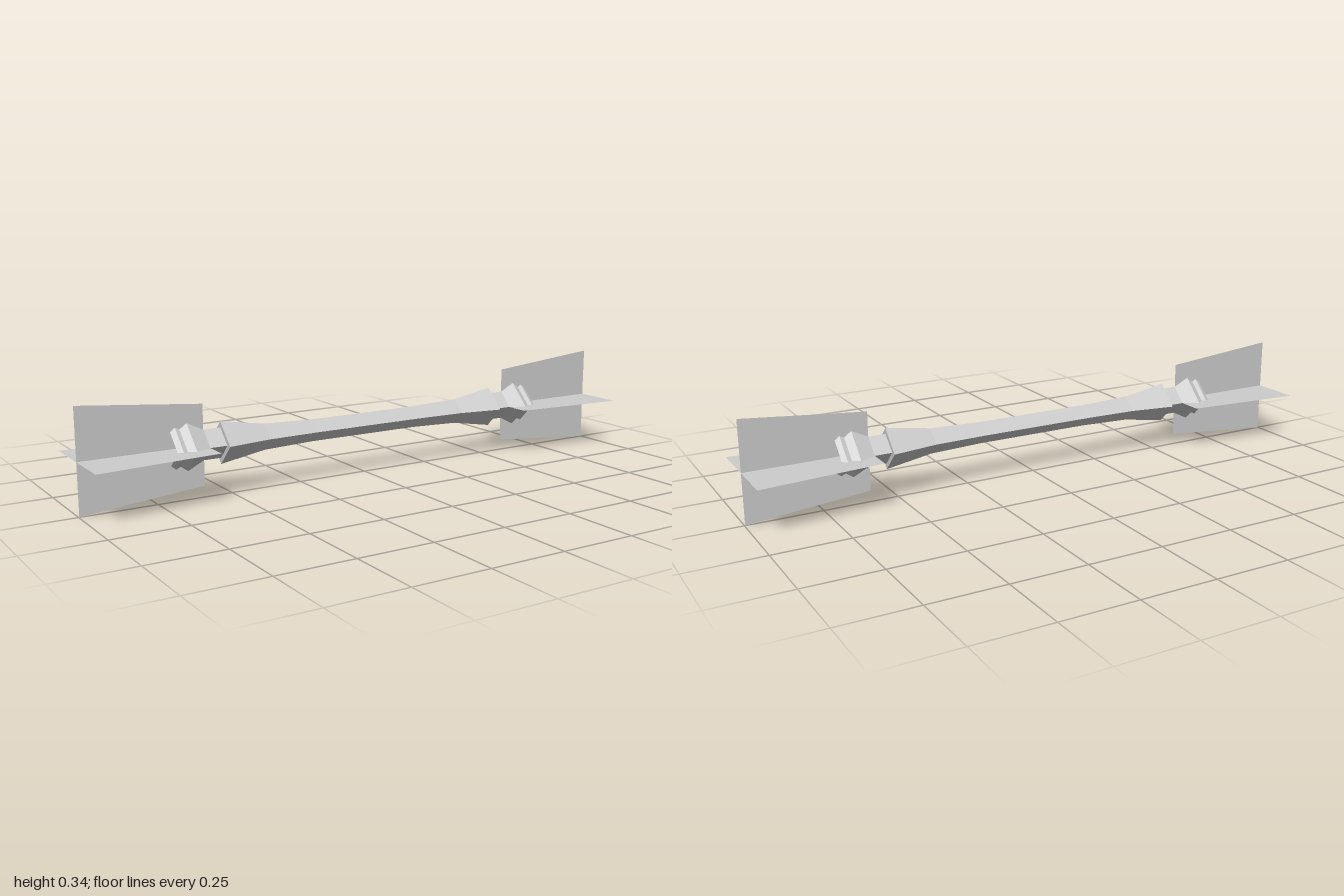
import * as THREE from 'three';

export function createModel() {
  const model = new THREE.Group();
  const axisY = 0.168;

  const grey = new THREE.MeshStandardMaterial({ color: 0xcccccc, flatShading: true });
  grey.name = 'plainGrey';
  const greySheet = new THREE.MeshStandardMaterial({ color: 0xcccccc, flatShading: true, side: THREE.DoubleSide });
  greySheet.name = 'plainGreySheet';

  // Half profile of the handle from the middle outwards: [distance along x, radius]
  const half = [
    [0.2, 0.037], [0.26, 0.039], [0.38, 0.043], [0.535, 0.069],
    [0.535, 0.049], [0.593, 0.049], [0.648, 0.076], [0.672, 0.059],
    [0.687, 0.066], [0.703, 0.054],
  ];
  const profile = [
    ...half.slice().reverse().map(([d, r]) => new THREE.Vector2(r, -d)),
    ...half.map(([d, r]) => new THREE.Vector2(r, d)),
  ];

  // Four-sided handle, open at both ends, laid along x
  const handleGeometry = new THREE.LatheGeometry(profile, 4);
  handleGeometry.rotateZ(-Math.PI / 2);
  const handle = new THREE.Mesh(handleGeometry, grey);
  handle.name = 'handle';
  handle.position.y = axisY;
  model.add(handle);

  // Flared flat blade, reused for the crossed pair at each end
  const bladeShape = new THREE.Shape([
    new THREE.Vector2(0.593, -0.131),
    new THREE.Vector2(0.998, -0.168),
    new THREE.Vector2(0.998, 0.168),
    new THREE.Vector2(0.593, 0.131),
  ]);
  const bladeGeometry = new THREE.ShapeGeometry(bladeShape);

  for (const [side, turn] of [['left', 0], ['right', Math.PI]]) {
    const blades = new THREE.Group();
    blades.name = side + 'Blades';
    blades.position.y = axisY;
    blades.rotation.y = turn;
    for (const [name, tilt] of [['uprightBlade', 0], ['levelBlade', -Math.PI / 2]]) {
      const blade = new THREE.Mesh(bladeGeometry, greySheet);
      blade.name = name;
      blade.rotation.x = tilt;
      blades.add(blade);
    }
    model.add(blades);
  }

  return model;
}
